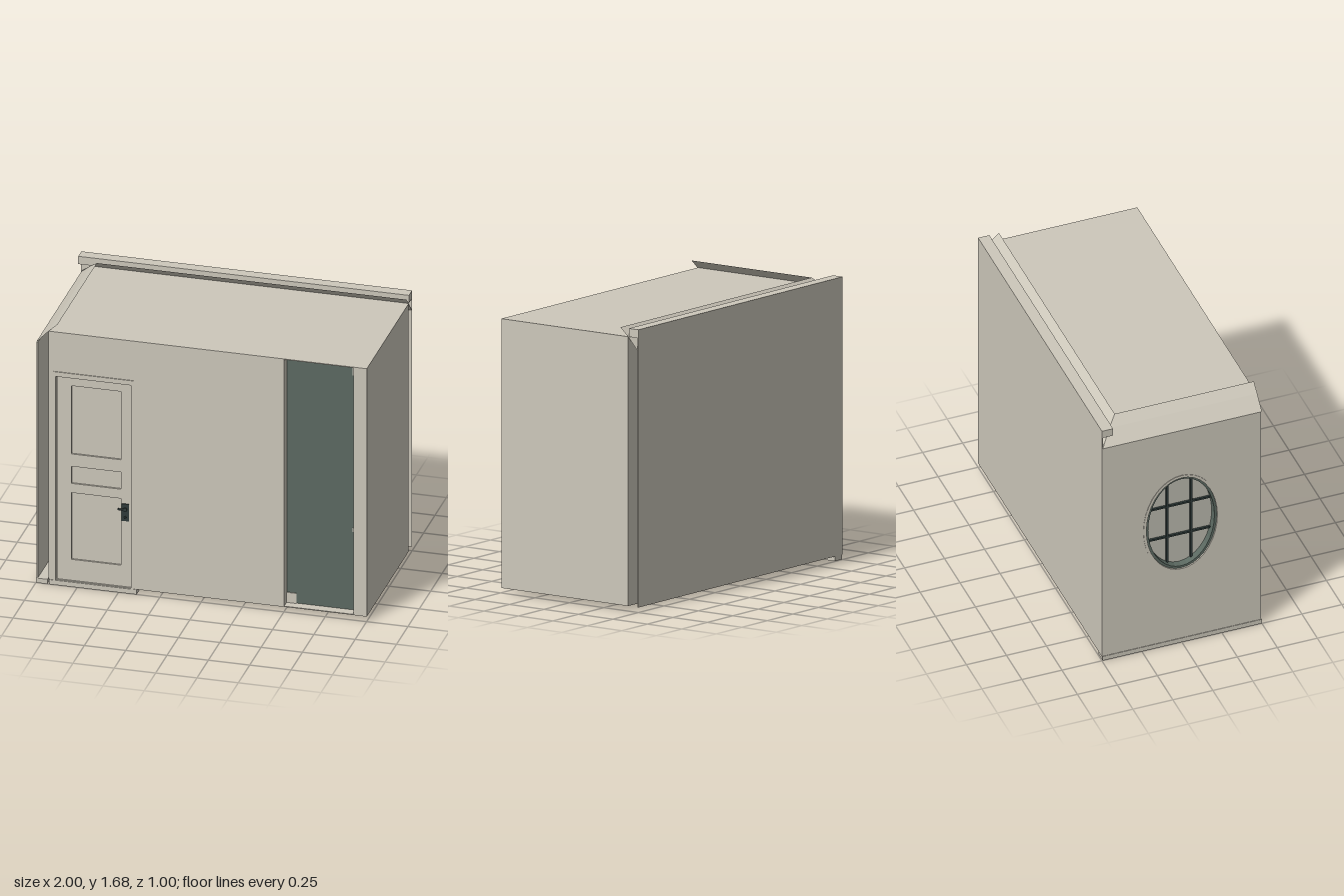
import * as THREE from 'three';

const mat = (name, color, double) => {
  const m = new THREE.MeshStandardMaterial({ color });
  m.name = name;
  if (double) m.side = THREE.DoubleSide;
  return m;
};

export function createModel() {
  const plaster = mat('plaster', 0xcdc8bb, true);
  const green = mat('darkGreen', 0x5c6a62);
  const iron = mat('darkIron', 0x2f3b3a);
  const pane = mat('windowPane', 0xbcbbb0);
  const room = new THREE.Group();
  room.name = 'room';

  const add = (parent, name, geo, material) => {
    const m = new THREE.Mesh(geo, material);
    m.name = name;
    parent.add(m);
    return m;
  };
  // box given by its minimum and maximum corners
  const box = (name, x0, x1, y0, y1, z0, z1, material = plaster, parent = room) => {
    const g = new THREE.BoxGeometry(x1 - x0, y1 - y0, z1 - z0);
    g.translate((x0 + x1) / 2, (y0 + y1) / 2, (z0 + z1) / 2);
    return add(parent, name, g, material);
  };
  const rect = (x0, x1, y0, y1, T = THREE.Shape) => new T([
    new THREE.Vector2(x0, y0), new THREE.Vector2(x1, y0),
    new THREE.Vector2(x1, y1), new THREE.Vector2(x0, y1)]);
  const ellipse = (a, b, T = THREE.Shape) => {
    const s = new T();
    s.absellipse(0, 0.87, a, b, 0, Math.PI * 2, false, 0);
    return s;
  };
  const extrude = (shape, holes, depth) => {
    shape.holes.push(...holes);
    return new THREE.ExtrudeGeometry(shape, { depth, bevelEnabled: false, curveSegments: 18 });
  };
  // flat strip through four corners
  const quad = (name, a, b, c, d) => {
    const g = new THREE.BufferGeometry();
    g.setAttribute('position', new THREE.Float32BufferAttribute([a, b, c, a, c, d].flat(), 3));
    g.computeVertexNormals();
    return add(room, name, g, plaster);
  };

  // inner room and its front wall with door and alcove openings
  box('innerRoom', -0.925, 1, 0.03, 1.63, -0.425, 0.43);
  const front = extrude(rect(-0.925, 1, 0.03, 1.63), [
    rect(-0.88, -0.42, 0.035, 1.35, THREE.Path),
    rect(0.5, 0.92, 0.035, 1.625, THREE.Path)], 0.065);
  front.translate(0, 0, 0.43);
  add(room, 'frontWall', front, plaster);

  // alcove backing and corner blocks
  box('alcovePanel', 0.5, 0.92, 0.035, 1.625, 0.43, 0.436, green);
  box('alcoveFoot', 0.5, 0.56, 0.035, 0.1, 0.43, 0.442);
  box('alcoveCornerUpper', 0.88, 0.92, 1.6, 1.625, 0.43, 0.442);
  box('alcoveCornerLower', 0.9, 0.92, 1.55, 1.6, 0.43, 0.442);
  box('alcoveCatch', 0.9, 0.92, 0.54, 0.565, 0.43, 0.442);
  box('alcoveStop', 0.91, 0.92, 0.035, 0.1, 0.43, 0.442);

  // door with three sunk panels, casing and sill
  const door = new THREE.Group();
  door.name = 'door';
  room.add(door);
  const panels = [[0.17, 0.6], [0.66, 0.77], [0.85, 1.29]];
  const leaf = extrude(rect(-0.875, -0.425, 0.035, 1.34),
    panels.map(([a, b]) => rect(-0.79, -0.49, a, b, THREE.Path)), 0.012);
  leaf.translate(0, 0, 0.473);
  add(door, 'doorLeaf', leaf, plaster);
  box('doorPanels', -0.875, -0.425, 0.035, 1.34, 0.43, 0.474, plaster, door);
  const casing = extrude(rect(-0.895, -0.41, 0.03, 1.375),
    [rect(-0.88, -0.425, 0.03, 1.345, THREE.Path)], 0.02);
  casing.translate(0, 0, 0.48);
  add(door, 'doorCasing', casing, plaster);
  box('doorSill', -0.92, -0.39, 0, 0.03, 0.42, 0.5, plaster, door);

  // door handle
  box('handlePlate', -0.485, -0.44, 0.46, 0.57, 0.485, 0.491, iron, door);
  box('handleLever', -0.505, -0.455, 0.53, 0.54, 0.494, 0.5, iron, door);
  for (const [y, r] of [[0.535, 0.012], [0.485, 0.007]]) {
    const boss = new THREE.CylinderGeometry(r, r, 0.009, 16);
    boss.rotateX(Math.PI / 2);
    boss.translate(-0.462, y, 0.495);
    add(door, 'handleBoss', boss, iron);
  }

  // thin outer side wall, pierced by the oval window
  const side = new THREE.Group();
  side.name = 'windowWall';
  side.rotation.y = -Math.PI / 2;
  side.position.x = -0.925;
  room.add(side);
  const skin = extrude(rect(-0.497, 0.497, 0.03, 1.55), [ellipse(0.23, 0.34, THREE.Path)], 0.008);
  skin.translate(0, 0, 0.064);
  add(side, 'outerSideWall', skin, plaster);
  add(side, 'windowTube',
    extrude(ellipse(0.24, 0.35), [ellipse(0.222, 0.332, THREE.Path)], 0.075), plaster);
  add(side, 'windowLiner',
    extrude(ellipse(0.222, 0.332), [ellipse(0.207, 0.317, THREE.Path)], 0.066), green);
  const glass = extrude(ellipse(0.21, 0.32), [], 0.005);
  glass.translate(0, 0, 0.015);
  add(side, 'windowPane', glass, pane);
  // glazing bars, cut to the oval
  for (const s of [-1, 1]) {
    const u = 0.075, v = 0.11;
    const h = 0.317 * Math.sqrt(1 - (u / 0.207) ** 2);
    const w = 0.207 * Math.sqrt(1 - (v / 0.317) ** 2);
    box('verticalBar', s * u - 0.006, s * u + 0.006, 0.87 - h, 0.87 + h, 0.02, 0.034, iron, side);
    box('horizontalBar', -w, w, 0.87 + s * v - 0.006, 0.87 + s * v + 0.006, 0.02, 0.033, iron, side);
  }
  box('sideSkirt', -1, -0.93, 0, 0.03, -0.495, 0.5);
  box('sideLedge', -0.997, -0.93, 0.425, 0.43, -0.495, -0.43);

  // thin back wall with a boxed parapet
  box('backWall', -1, 1, 0.03, 1.68, -0.5, -0.492);
  box('parapet', -1, 1, 1.63, 1.68, -0.493, -0.43);

  // sloping eaves strips, mitred at the corner
  quad('sideSlopeLower', [-1, 1.55, -0.497], [-1, 1.55, 0.5], [-0.925, 1.63, 0.5], [-0.925, 1.63, -0.425]);
  quad('sideSlopeUpper', [-0.925, 1.63, -0.425], [-0.925, 1.63, 0.5], [-0.87, 1.68, 0.5], [-0.87, 1.68, -0.37]);
  quad('backSlopeLower', [1, 1.555, -0.493], [-1, 1.555, -0.493], [-0.925, 1.63, -0.425], [1, 1.63, -0.425]);
  quad('backSlopeUpper', [1, 1.63, -0.425], [-0.925, 1.63, -0.425], [-0.87, 1.68, -0.37], [1, 1.68, -0.37]);

  return room;
}
